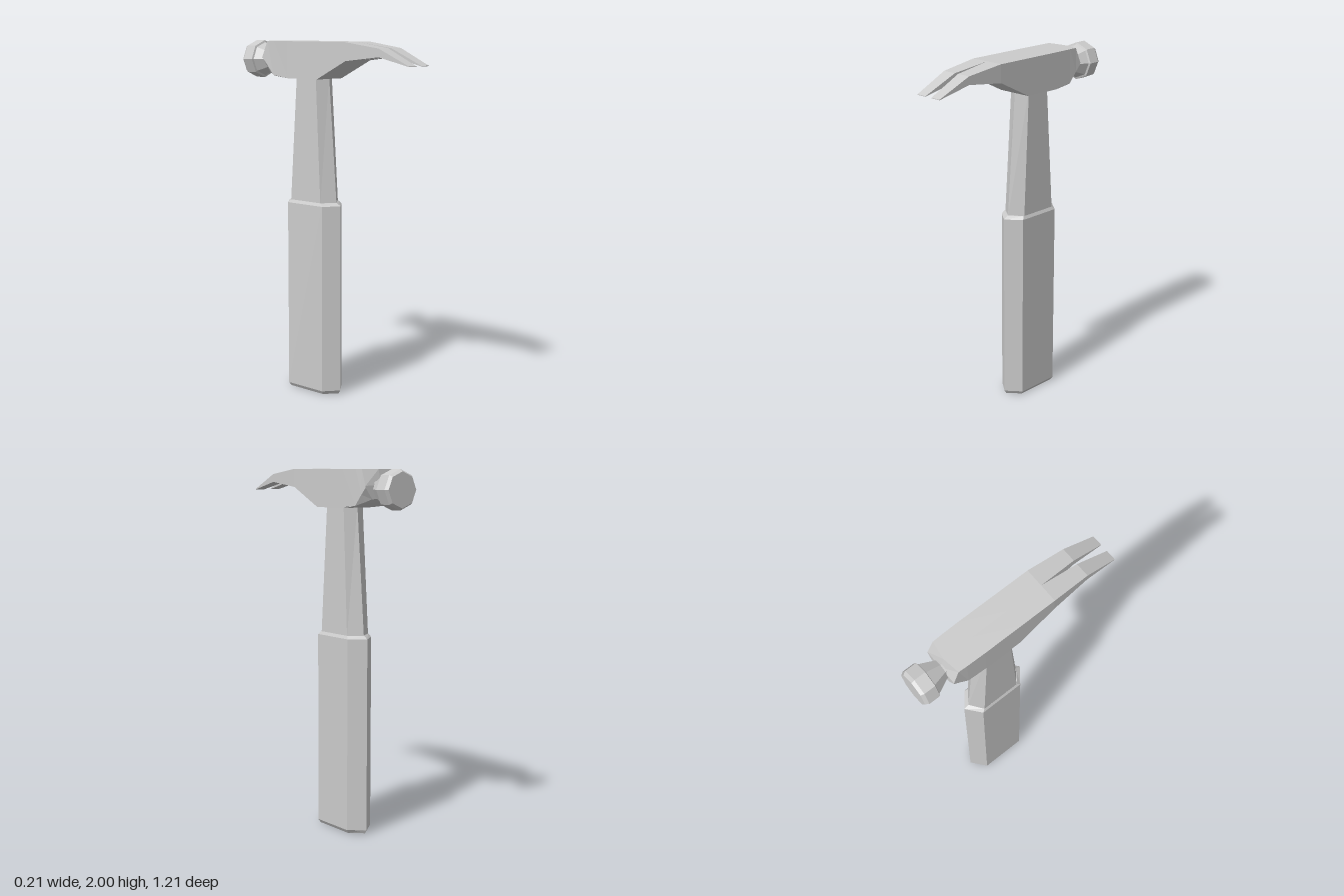
import * as THREE from 'three';

const material = new THREE.MeshStandardMaterial({ color: 0xcccccc, flatShading: true });

// Skin through rings of [x, y, z], each counter-clockwise seen from the last ring's end; both ends capped
function loft(name, rings) {
  const n = rings[0].length, last = (rings.length - 1) * n, index = [];
  for (let i = 0; i < rings.length - 1; i++) {
    for (let j = 0; j < n; j++) {
      const a = i * n + j, b = i * n + (j + 1) % n;
      index.push(a, b, b + n, a, b + n, a + n);
    }
  }
  for (let j = 1; j < n - 1; j++) {
    index.push(0, j + 1, j, last, last + j, last + j + 1);
  }
  const geometry = new THREE.BufferGeometry();
  geometry.setAttribute('position', new THREE.Float32BufferAttribute(rings.flat(2), 3));
  geometry.setIndex(index);
  return finish(name, geometry);
}

function finish(name, geometry) {
  const flat = geometry.toNonIndexed();
  flat.computeVertexNormals();
  const mesh = new THREE.Mesh(flat, material);
  mesh.name = name;
  return mesh;
}

// Elongated hexagon at height y: half width, then z of front ridge, front edge, back edge, back ridge
const hexagon = ([y, w, z0, z1, z2, z3]) => [
  [0, y, z0], [w, y, z1], [w, y, z2], [0, y, z3], [-w, y, z2], [-w, y, z1],
];

// Head section: z, bottom y and half width, side y and half width, top y and half width, back shift of top middle
const headRing = ([z, yb, wb, ym, wm, yt, wt, shift]) => [
  [wb, yb, z], [wm, ym, z], [wt, yt, z], [0, yt, z - shift],
  [-wt, yt, z], [-wm, ym, z], [-wb, yb, z],
];

export function createModel() {
  const group = new THREE.Group();

  // Grip with bevelled ends
  group.add(loft('grip', [
    [0, 0.07, 0.052, -0.005, -0.257, -0.318],
    [0.02, 0.083, 0.066, 0, -0.262, -0.33],
    [1.09, 0.083, 0.066, 0, -0.262, -0.33],
    [1.107, 0.074, 0.037, -0.015, -0.247, -0.301],
  ].map(hexagon)));

  // Tapering shaft
  group.add(loft('shaft', [
    [1.1, 0.074, 0.035, -0.02, -0.246, -0.3],
    [1.81, 0.066, -0.02, -0.06, -0.204, -0.24],
  ].map(hexagon)));

  // Head block, from the back face to the root of the claws
  group.add(loft('head', [
    [-0.435, 1.845, 0.06, 1.905, 0.104, 1.915, 0.104, 0],
    [-0.4, 1.828, 0.08, 1.868, 0.104, 2, 0.1, 0.015],
    [-0.35, 1.807, 0.1, 1.81, 0.104, 2, 0.102, 0],
    [-0.24, 1.795, 0.104, 1.8, 0.104, 2, 0.104, 0],
    [-0.02, 1.795, 0.104, 1.8, 0.104, 2, 0.104, 0],
    [0.19, 1.9, 0.104, 1.905, 0.104, 2, 0.104, 0],
  ].map(headRing)));

  // Pair of claws curving down to sharp tips: z, bottom, top, inner x, outer x
  const claw = [
    [0.19, 1.9, 2, 0, 0.104],
    [0.41, 1.925, 1.97, 0.012, 0.093],
    [0.605, 1.879, 1.882, 0.022, 0.083],
  ].map(([z, yb, yt, a, b]) => [[b, yb, z], [b, yt, z], [a, yt, z], [a, yb, z]]);
  group.add(loft('leftClaw', claw));
  group.add(loft('rightClaw', claw.map(
    (ring) => ring.map(([x, y, z]) => [-x, y, z]).reverse())));

  // Eight-sided neck and striking face, turned to point backwards
  const profile = [
    [0, 0.42], [0.055, 0.42], [0.055, 0.435], [0.095, 0.518],
    [0.106, 0.522], [0.106, 0.587], [0.094, 0.605], [0, 0.605],
  ].map(([r, d]) => new THREE.Vector2(r, d));
  const poll = finish('strikingFace', new THREE.LatheGeometry(profile, 8).rotateX(-Math.PI / 2));
  poll.position.y = 1.895;
  group.add(poll);

  return group;
}
